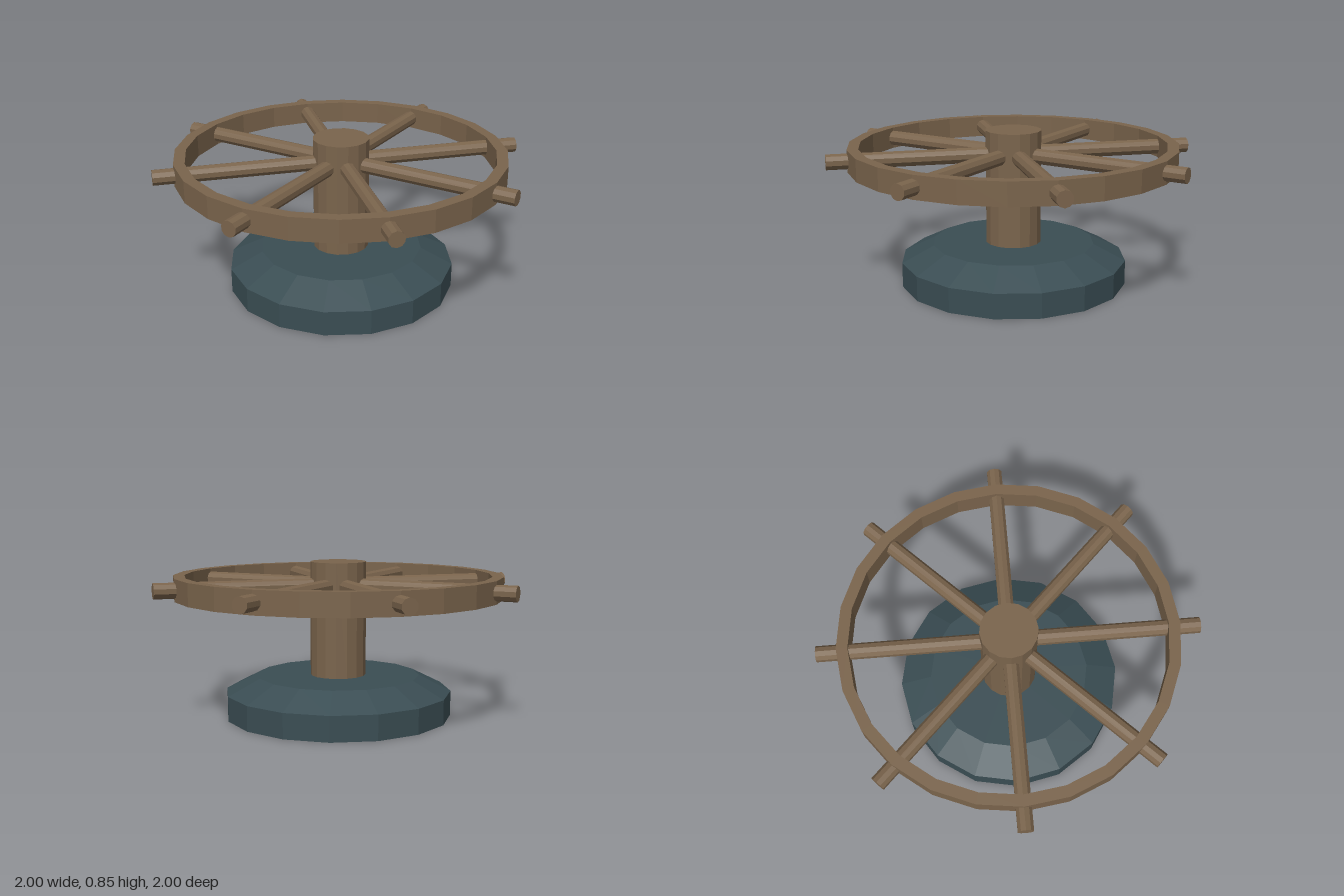
import * as THREE from 'three';

const wood = new THREE.MeshStandardMaterial({ color: 0x7a644c, flatShading: true });
wood.name = 'brown wood';
const iron = new THREE.MeshStandardMaterial({ color: 0x3a4d53, flatShading: true });
iron.name = 'dark slate';

// Lathe of [radius, y] points listed from bottom to top
function turned(name, points, sides, material) {
  const profile = points.map(([r, y]) => new THREE.Vector2(r, y));
  const mesh = new THREE.Mesh(new THREE.LatheGeometry(profile, sides), material);
  mesh.name = name;
  return mesh;
}

export function createModel() {
  const model = new THREE.Group();
  model.name = 'capstanWheel';

  // Bevelled foot and central post
  model.add(turned('base', [[0, 0], [0.62, 0], [0.62, 0.135], [0.445, 0.223], [0, 0.223]], 16, iron));
  model.add(turned('post', [[0, 0.2], [0.152, 0.2], [0.152, 0.845], [0, 0.845]], 16, wood));

  // Flat rim with a rectangular section
  model.add(turned('rim', [[0.83, 0.655], [0.89, 0.655], [0.89, 0.775], [0.83, 0.775], [0.83, 0.655]], 24, wood));

  // Eight round bars running from the post out through the rim
  const barShape = new THREE.CylinderGeometry(0.042, 0.042, 0.95, 10);
  barShape.rotateX(Math.PI / 2).translate(0, 0.715, 0.525);
  const bars = new THREE.Group();
  bars.name = 'bars';
  for (let i = 0; i < 8; i++) {
    const bar = new THREE.Mesh(barShape, wood);
    bar.name = 'bar' + (i + 1);
    bar.rotation.y = (i * Math.PI) / 4;
    bars.add(bar);
  }
  model.add(bars);
  return model;
}
